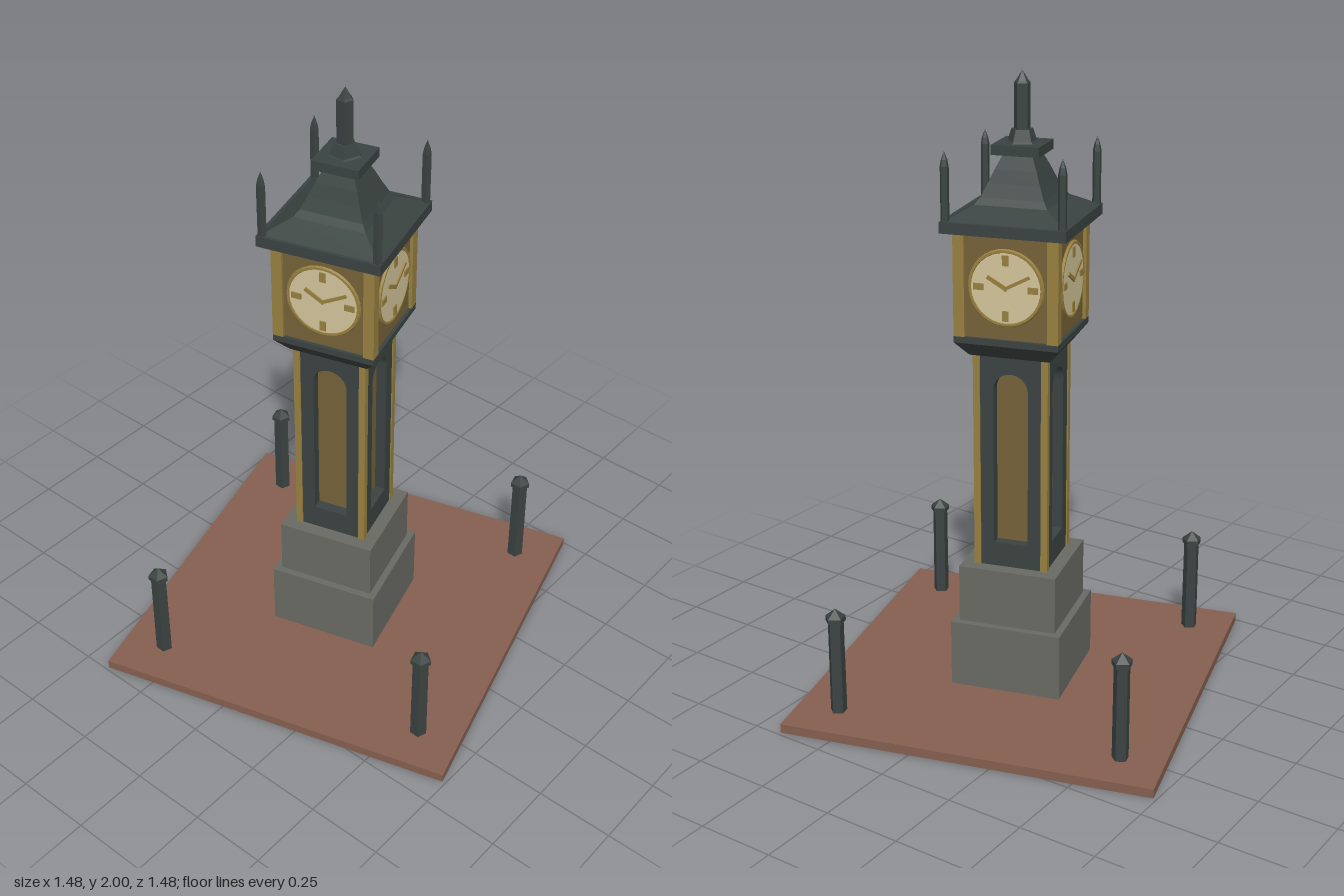
import * as THREE from 'three';

const mat = (color) => new THREE.MeshStandardMaterial({ color, flatShading: true });

export function createModel() {
  const brick = mat(0x855f50), stone = mat(0x6a6a64), iron = mat(0x3a4341);
  const gold = mat(0x98803f), panel = mat(0x756238), cream = mat(0xd3c59b);

  const model = new THREE.Group();
  model.name = 'clockTower';
  const tower = new THREE.Group();
  tower.name = 'turnedTower';
  tower.rotation.y = 0.28;
  model.add(tower);

  const add = (name, geometry, material, parent = tower) => {
    const mesh = new THREE.Mesh(geometry, material);
    mesh.name = name;
    parent.add(mesh);
    return mesh;
  };
  // Upright box between two heights, centred on (x, z)
  const block = (name, half, y0, y1, material, x = 0, z = 0) => {
    const g = new THREE.BoxGeometry(half * 2, y1 - y0, half * 2);
    return add(name, g.translate(x, (y0 + y1) / 2, z), material);
  };
  // Square or pentagonal turned profile of [radius, y], listed bottom to top
  const turned = (name, profile, sides, material, x = 0, z = 0) => {
    const k = sides === 4 ? Math.SQRT2 : 1; // squares are given by half width
    const pts = profile.map(([r, y]) => new THREE.Vector2(r * k, y));
    const g = new THREE.LatheGeometry(pts, sides);
    g.rotateY(sides === 4 ? Math.PI / 4 : Math.PI / 2);
    return add(name, g.translate(x, 0, z), material);
  };
  const corners = [[1, 1], [1, -1], [-1, -1], [-1, 1]];

  // Pavement and stepped plinth
  block('pavement', 0.598, 0, 0.03, brick);
  block('lowerPlinth', 0.182, -0.001, 0.25, stone);
  block('upperPlinth', 0.16, 0.25, 0.44, stone);

  // Shaft core, seen through the arched openings
  block('shaftCore', 0.083, 0.44, 1.145, panel);

  // Corbel under the clock stage
  turned('corbel', [[0, 1.143], [0.129, 1.143], [0.166, 1.19], [0.166, 1.21], [0, 1.21]], 4, iron);
  block('clockStage', 0.155, 1.21, 1.535, panel);

  // Eaves, flared roof and cap
  block('eaves', 0.197, 1.535, 1.57, iron);
  turned('roof', [[0.186, 1.57], [0.115, 1.61], [0.1, 1.63], [0.082, 1.67],
    [0.066, 1.71], [0.045, 1.755]], 4, iron);
  block('roofCap', 0.075, 1.755, 1.785, iron);
  turned('finial', [[0.052, 1.785], [0.046, 1.79], [0.034, 1.825], [0.026, 1.825], [0.026, 1.962],
    [0.02, 1.968], [0, 2]], 5, iron);

  // Corner pieces: gold posts, roof spikes and pavement bollards
  for (const [sx, sz] of corners) {
    block('shaftCornerPost', 0.011, 0.44, 1.145, gold, sx * 0.11, sz * 0.11);
    block('clockCornerPost', 0.0175, 1.21, 1.535, gold, sx * 0.1485, sz * 0.1485);
    turned('roofSpike', [[0.014, 1.57], [0.014, 1.735], [0.01, 1.755], [0, 1.78]], 5, iron, sx * 0.182, sz * 0.182);
    turned('bollard', [[0.027, 0.03], [0.026, 0.342], [0.033, 0.342], [0.033, 0.358], [0, 0.385]],
      5, iron, sx * 0.46, sz * 0.46);
  }

  // Iron frame with an arched opening
  const frame = new THREE.Shape();
  frame.moveTo(-0.1, 0.44).lineTo(0.1, 0.44).lineTo(0.1, 1.145).lineTo(-0.1, 1.145).closePath();
  const arch = new THREE.Path();
  arch.moveTo(-0.056, 0.52).lineTo(-0.056, 1.031);
  arch.absarc(0, 1.031, 0.056, Math.PI, 0, true);
  arch.lineTo(0.056, 0.52).closePath();
  frame.holes.push(arch);
  const frameGeo = new THREE.ExtrudeGeometry(frame, { depth: 0.035, bevelEnabled: false, curveSegments: 12 });
  frameGeo.translate(0, 0, 0.082);

  const dialGeo = new THREE.CylinderGeometry(0.112, 0.112, 0.008, 32).rotateX(Math.PI / 2);
  const rimGeo = new THREE.TorusGeometry(0.114, 0.007, 6, 32);
  // Clock hand pointing from the dial centre, angle measured clockwise from twelve
  const hand = (name, length, width, angle, dial) => {
    const g = new THREE.BoxGeometry(width, length, 0.005).translate(0, length / 2 - 0.006, 0.007);
    add(name, g, gold, dial).rotation.z = -angle;
  };

  // Four identical sides
  for (let i = 0; i < 4; i++) {
    const side = new THREE.Group();
    side.name = 'towerSide';
    side.rotation.y = i * Math.PI / 2;
    tower.add(side);
    add('archedFrame', frameGeo, iron, side);

    const dial = new THREE.Group();
    dial.name = 'clock';
    dial.position.set(0, 1.373, 0.158);
    side.add(dial);
    add('dial', dialGeo, cream, dial);
    add('dialRim', rimGeo, gold, dial);
    for (let m = 0; m < 4; m++) {
      const g = new THREE.BoxGeometry(0.02, 0.032, 0.006).translate(0, 0.086, 0.005);
      add('hourMark', g, gold, dial).rotation.z = m * Math.PI / 2;
    }
    hand('hourHand', 0.072, 0.012, -1.05, dial);
    hand('minuteHand', 0.092, 0.01, 1.08, dial);
  }
  return model;
}
